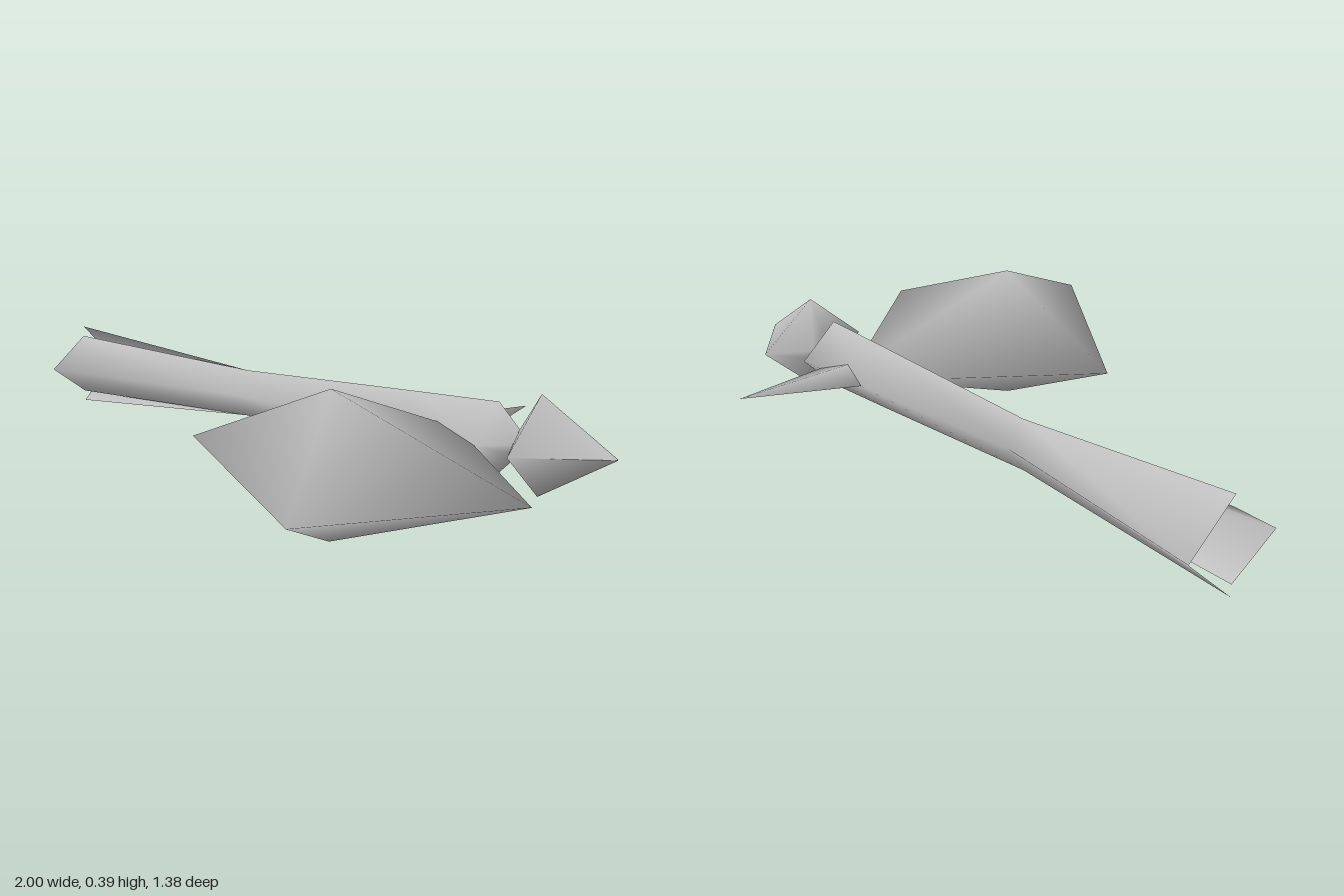
import * as THREE from 'three';

const MID_Y = 0.197, HANDLE_Z = -0.295;

function build(points, index) {
  const g = new THREE.BufferGeometry();
  g.setAttribute('position', new THREE.Float32BufferAttribute(points.flat(), 3));
  g.setIndex(index);
  g.computeVertexNormals();
  return g;
}

// Skin over rows of points; closed joins the last point of each row to the first
function loft(rows, closed) {
  const n = rows[0].length, index = [];
  for (let i = 0; i < rows.length - 1; i++) {
    for (let j = 0; j < (closed ? n : n - 1); j++) {
      const k = (j + 1) % n;
      const a = i * n + j, d = i * n + k, b = a + n, c = d + n;
      index.push(a, b, d, b, c, d);
    }
  }
  return build(rows.flat(), index);
}

// Flat outline [x, z] swelling to one peak above and one below
function doublePyramid(outline, peak, height) {
  const n = outline.length, index = [];
  const points = outline.map(([x, z]) => [x, MID_Y, z]);
  points.push([peak[0], MID_Y + height, peak[1]], [peak[0], MID_Y - height, peak[1]]);
  for (let i = 0; i < n; i++) {
    const j = (i + 1) % n;
    index.push(n, i, j, n + 1, j, i);
  }
  return build(points, index);
}

export function createModel() {
  const group = new THREE.Group();
  const metal = new THREE.MeshStandardMaterial({ color: 0xbfbfbf, side: THREE.DoubleSide });
  metal.name = 'plain grey';
  const add = (name, geometry) => {
    const mesh = new THREE.Mesh(geometry, metal);
    mesh.name = name;
    group.add(mesh);
  };

  // Handle, open at the end: x, half depth, half height of front shell, of back shell
  const sections = [
    [-1, 0.137, 0.093, 0.125],
    [-0.28, 0.047, 0.07, 0.07],
    [0.34, 0.088, 0.092, 0.092],
    [0.6, 0.107, 0.1, 0.1],
    [0.665, 0.035, 0.035, 0.035],
  ];
  for (const side of [1, -1]) {
    const rows = sections.map(([x, hz, front, back]) => {
      const hy = (side > 0 ? front : back) * side;
      return [
        [x, MID_Y - hy, HANDLE_Z],
        [x, MID_Y, HANDLE_Z + side * hz],
        [x, MID_Y + hy, HANDLE_Z],
      ];
    });
    add(side > 0 ? 'handleFront' : 'handleBack', loft(rows, false));
  }

  // Pointed top of the shaft: x, half depth, half height
  const head = [[0.665, 0.035, 0.035], [0.725, 0.163, 0.138], [0.947, 0.002, 0.002]];
  add('pointedTip', loft(head.map(([x, hz, hy]) => [
    [x, MID_Y - hy, HANDLE_Z],
    [x, MID_Y, HANDLE_Z + hz],
    [x, MID_Y + hy, HANDLE_Z],
    [x, MID_Y, HANDLE_Z - hz],
  ]), true));

  // Broad blade in front of the shaft
  add('blade', doublePyramid(
    [[-0.035, 0.21], [0.68, 0.69], [0.995, 0.21], [0.45, -0.33], [0.335, -0.33]],
    [0.435, 0.22], 0.195));

  // Spike behind the shaft
  add('backSpike', doublePyramid(
    [[0.455, -0.69], [0.31, -0.34], [0.535, -0.34]], [0.43, -0.345], 0.03));

  return group;
}
